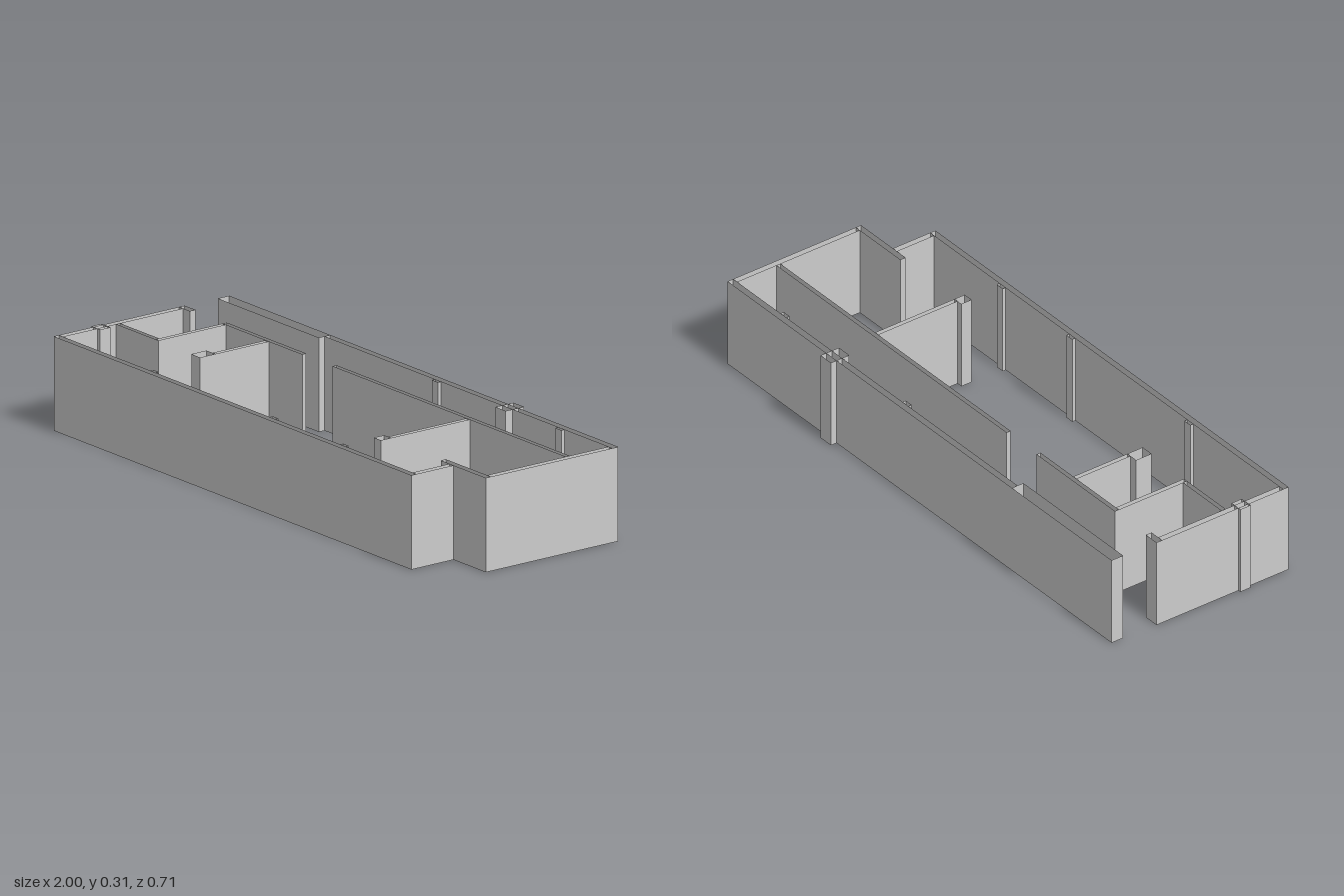
import * as THREE from 'three';

const H = 0.31;
const material = new THREE.MeshStandardMaterial({ color: 0xcccccc, side: THREE.DoubleSide, flatShading: true });

// Full-height wall between two plan corners, open at top and bottom
function wall(name, x0, x1, z0, z1) {
  const geo = new THREE.BoxGeometry(x1 - x0, H, z1 - z0);
  const idx = Array.from(geo.index.array);
  geo.setIndex([...idx.slice(0, 12), ...idx.slice(24)]); // keep the four vertical sides
  geo.clearGroups();
  geo.translate((x0 + x1) / 2, H / 2, (z0 + z1) / 2);
  const mesh = new THREE.Mesh(geo, material);
  mesh.name = name;
  return mesh;
}

function makeGroup(name, walls) {
  const group = new THREE.Group();
  group.name = name;
  walls.forEach((w) => group.add(wall(...w)));
  return group;
}

export function createModel() {
  const model = new THREE.Group();
  model.name = 'floorPlan';

  // Outer shell, with a recessed front corner and an entrance gap at the back
  model.add(makeGroup('outerWalls', [
    ['frontWall', -0.99, 0.835, 0.337, 0.357],
    ['recessSideWall', 0.815, 0.835, 0.19, 0.337],
    ['recessFrontWall', 0.77, 1, 0.17, 0.19],
    ['leftEndWall', 0.98, 1, -0.313, 0.17],
    ['backWall', -0.47, 1, -0.335, -0.313],
    ['thickBackWall', -0.985, -0.47, -0.335, -0.29],
    ['rightEndWall', -0.99, -0.97, -0.14, 0.337],
    ['rightEndReturn', -0.99, -0.935, -0.162, -0.14],
  ]));

  // Room dividers
  model.add(makeGroup('partitions', [
    ['corridorWallLong', -0.21, 0.98, -0.158, -0.143],
    ['corridorWallShort', -0.77, -0.365, -0.158, -0.143],
    ['largeRoomDivider', 0.475, 0.49, -0.143, 0.17],
    ['smallRoomDivider', -0.55, -0.535, -0.143, 0.07],
    ['closetSideWall', -0.77, -0.755, -0.143, 0.125],
    ['closetFrontWall', -0.97, -0.77, 0.11, 0.125],
  ]));

  // Structural columns
  model.add(makeGroup('columns', [
    ['backColumn', 0.437, 0.49, -0.357, -0.285],
    ['endColumn', -1, -0.955, 0.16, 0.2],
    ['largeRoomColumn', 0.455, 0.49, 0.17, 0.21],
    ['smallRoomColumn', -0.58, -0.535, 0.07, 0.13],
  ]));

  // Shallow pilasters on the inside of the long walls
  const pilasters = new THREE.Group();
  pilasters.name = 'pilasters';
  for (const x of [-0.51, 0.1, 0.46]) pilasters.add(wall('frontPilaster', x - 0.015, x + 0.015, 0.325, 0.337));
  for (const x of [0.11, 0.74]) pilasters.add(wall('backPilaster', x - 0.015, x + 0.015, -0.313, -0.3));
  model.add(pilasters);

  return model;
}
